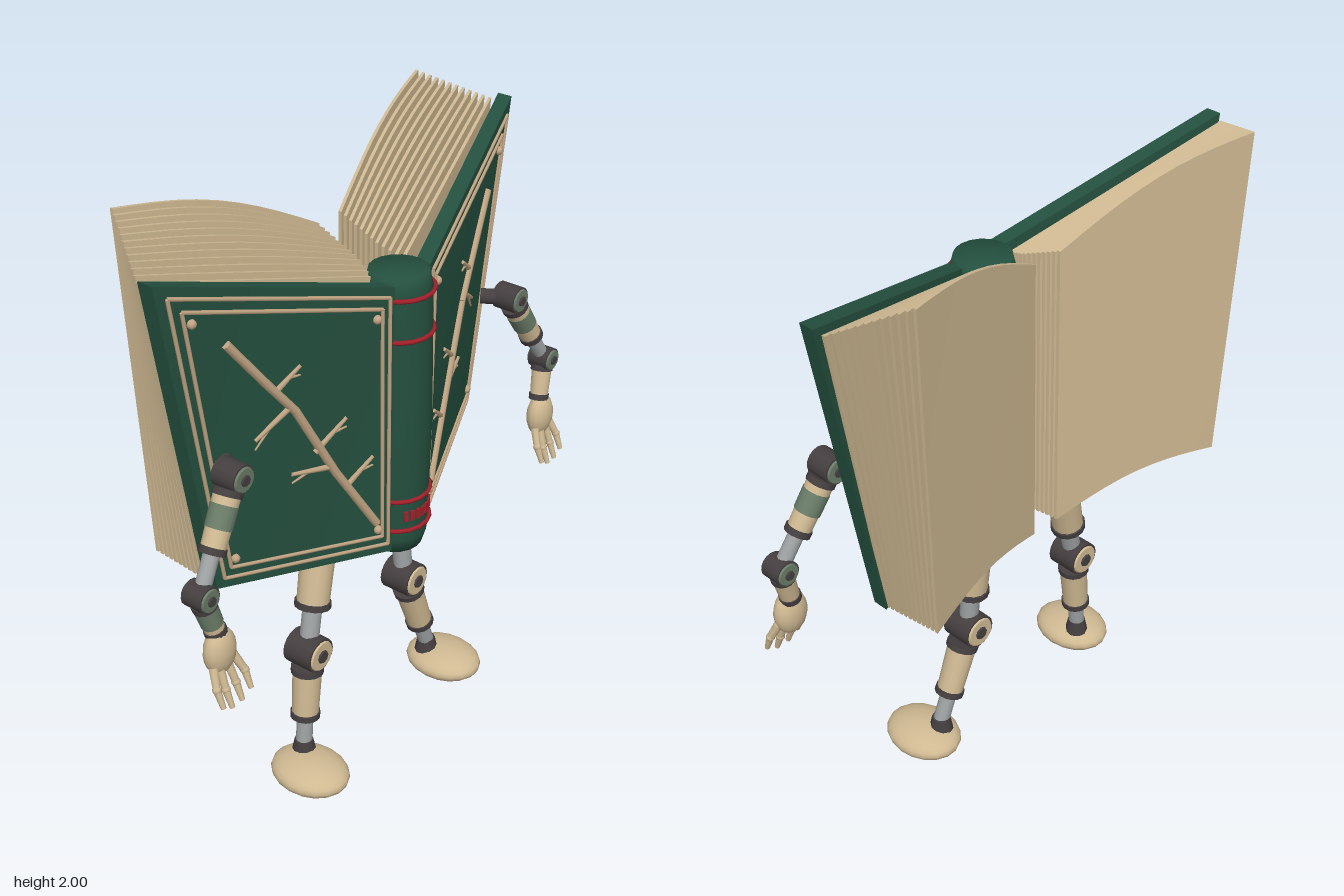
import * as THREE from 'three';

const mat = (name, color) => {
  const m = new THREE.MeshStandardMaterial({ color });
  m.name = name;
  return m;
};
const V = (x, y, z) => new THREE.Vector3(x, y, z);
const lerp = THREE.MathUtils.lerp;

export function createModel() {
  const green = mat('cover green', 0x24503f);
  const cream = mat('cream', 0xcfb992);
  const gilt = mat('gilt tan', 0xc2a684);
  const dark = mat('dark metal', 0x453f40);
  const steel = mat('steel grey', 0x9ea2a3);
  const red = mat('band red', 0xa3202a);
  const moss = mat('moss green', 0x6a7c68);

  const model = new THREE.Group();
  const group = (name, parent = model) => {
    const g = new THREE.Group();
    g.name = name;
    parent.add(g);
    return g;
  };
  const add = (parent, name, geo, material, pos) => {
    const m = new THREE.Mesh(geo, material);
    m.name = name;
    if (pos) m.position.copy(pos);
    parent.add(m);
    return m;
  };
  // tapered rod from a to b
  const rod = (parent, name, a, b, r1, r2, material, sides = 14) => {
    const d = b.clone().sub(a);
    const m = add(parent, name, new THREE.CylinderGeometry(r2, r1, d.length(), sides), material,
      a.clone().add(b).multiplyScalar(0.5));
    m.quaternion.setFromUnitVectors(V(0, 1, 0), d.normalize());
    return m;
  };
  // bends a box into a slab: map(u from spine, v up, d front) gives a point on the +x side
  const slab = (parent, name, side, map, nu, nv, material) => {
    const geo = new THREE.BoxGeometry(1, 1, 1, nu, nv, 1);
    const p = geo.attributes.position;
    for (let i = 0; i < p.count; i++) {
      const q = map(0.5 + side * p.getX(i), p.getY(i) + 0.5, p.getZ(i) + 0.5);
      p.setXYZ(i, side * q.x, q.y, q.z);
    }
    geo.computeVertexNormals();
    add(parent, name, geo, material);
  };

  // spine with raised bands
  const spine = group('spine');
  const profile = [[0, 0.78], [0.085, 0.78], [0.1, 0.83], [0.107, 1.2], [0.1, 1.65], [0.088, 1.7], [0, 1.7]];
  const spineGeo = new THREE.LatheGeometry(profile.map(([r, y]) => new THREE.Vector2(r, y)), 18);
  add(spine, 'spineRoll', spineGeo, green, V(0, 0, 0.16));
  for (const y of [0.87, 0.975, 1.515, 1.645]) {
    const band = add(spine, 'spineBand', new THREE.TorusGeometry(0.106, 0.007, 6, 18), red, V(0, y, 0.16));
    band.rotation.x = Math.PI / 2;
  }
  // row of small ornamental studs
  for (let i = -3; i <= 3; i++) {
    const a = i * 0.2;
    const stud = add(spine, 'spineStud', new THREE.BoxGeometry(0.013, 0.034, 0.008), red,
      V(Math.sin(a) * 0.103, 0.92, 0.16 + Math.cos(a) * 0.103));
    stud.rotation.y = a;
  }

  const twigs = [[[0.48, 1.49], [0.40, 1.55]], [[0.43, 1.43], [0.54, 1.357]], [[0.352, 1.25], [0.25, 1.33]],
    [[0.3, 1.183], [0.425, 1.203]], [[0.255, 1.09], [0.16, 1.167]]];
  const branch = [[0.627, 1.69], [0.5, 1.52], [0.415, 1.41], [0.283, 1.156], [0.145, 0.925]];

  for (const side of [1, -1]) {
    const tag = side > 0 ? 'left' : 'right';
    const half = group(tag + 'Half');
    const zIn = side > 0 ? 0.205 : 0.215, zOut = side > 0 ? -0.025 : 0.015;

    // cover board
    const cover = (u, v, d) => V(
      lerp(0.09, lerp(0.65, 0.83, v), u),
      lerp(lerp(0.8, 1.69, v), lerp(0.89, 1.92, v), u),
      lerp(zIn, zOut, u) - 0.05 * (1 - d));
    slab(half, tag + 'Cover', side, cover, 4, 4, green);

    const onCover = (u, v) => { const q = cover(u, v, 1); q.x *= side; q.z += 0.003; return q; };
    // finds the cover point seen at a given x and y
    const at = ([x, y]) => {
      let u = 0.5, v = 0.5;
      for (let i = 0; i < 8; i++) {
        u = (x - 0.09) / (lerp(0.65, 0.83, v) - 0.09);
        v = (y - lerp(0.8, 0.89, u)) / lerp(0.89, 1.03, u);
      }
      return onCover(u, v);
    };

    // double border with corner studs
    const trim = group(tag + 'CoverTrim', half);
    for (const [u0, u1, v0, v1] of [[0.025, 0.955, 0.035, 0.965], [0.06, 0.91, 0.07, 0.925]]) {
      const c = [[u0, v0], [u1, v0], [u1, v1], [u0, v1]].map(([u, v]) => onCover(u, v));
      c.forEach((p, i) => rod(trim, 'borderLine', p, c[(i + 1) % 4], 0.006, 0.006, gilt, 6));
    }
    for (const [u, v] of [[0.085, 0.1], [0.88, 0.1], [0.88, 0.89], [0.085, 0.89]])
      add(trim, 'cornerStud', new THREE.SphereGeometry(0.014, 8, 6), gilt, onCover(u, v));

    // branch ornament
    for (let i = 0; i < branch.length - 1; i++)
      rod(trim, 'branch', at(branch[i]), at(branch[i + 1]), 0.013, 0.013, gilt, 8);
    for (const [a, b] of twigs) {
      rod(trim, 'twig', at(a), at(b), 0.01, 0.006, gilt, 6);
      const mid = [lerp(a[0], b[0], 0.55), lerp(a[1], b[1], 0.55)];
      rod(trim, 'twigSpur', at(mid), at([b[0], b[1] - 0.03]), 0.005, 0.003, gilt, 5);
    }

    // fanned sheets, k from cover to open page
    const pages = group(tag + 'Pages', half);
    const n = 12;
    for (let i = 0; i < n; i++) {
      const k = i / (n - 1);
      const sheet = (u, v, d) => V(
        lerp(lerp(0.075, 0.05, Math.min(1, k * 3)), lerp(lerp(0.64, 0.62, k), lerp(0.815, 0.67, k), v), u),
        lerp(lerp(lerp(0.8, 0.83, k), lerp(1.69, 1.785, k), v), lerp(0.89, lerp(1.905, 1.995, k), v), u)
          + 0.045 * k * Math.sin(Math.PI * u),
        lerp(lerp(0.125, -0.085, k), lerp(zOut - 0.065, -0.27, k) + 0.025 * (1 - v), u) - 0.011 * (1 - d));
      slab(pages, 'sheet', side, sheet, 10, 4, cream);
    }
  }

  // round hinge facing front and back
  const hinge = (parent, name, p, r, w, face) => {
    const zAxis = V(0, 0, w / 2);
    const lo = p.clone().sub(zAxis), hi = p.clone().add(zAxis);
    rod(parent, name, lo, hi, r, r, dark, 16);
    for (const [c, s] of [[hi, 1], [lo, -1]]) {
      rod(parent, name + 'Face', c, c.clone().add(V(0, 0, 0.006 * s)), r * 0.88, r * 0.82, face, 16);
      rod(parent, name + 'Pin', c, c.clone().add(V(0, 0, 0.012 * s)), r * 0.42, r * 0.36, dark, 8);
    }
  };
  // sleeve from a to b with dark rings at its ends
  const sleeve = (parent, name, a, b, r1, r2, material) => {
    rod(parent, name, a, b, r1, r2, material);
    const d = b.clone().sub(a).normalize().multiplyScalar(0.01);
    rod(parent, name + 'TopRing', a.clone().sub(d), a.clone().add(d), r1 * 1.1, r1 * 1.1, dark);
    rod(parent, name + 'EndRing', b.clone().sub(d), b.clone().add(d), r2 * 1.12, r2 * 1.12, dark);
  };
  const mix = (a, b, t) => a.clone().lerp(b, t);

  // arms
  for (const side of [1, -1]) {
    const arm = group(side > 0 ? 'leftArm' : 'rightArm');
    const P = (x, y, z) => V(x * side, y, z);
    const shoulder = P(0.67, 1.325, 0.11), elbow = P(0.85, 1.04, 0.14), wrist = P(0.815, 0.91, 0.155);
    hinge(arm, 'shoulder', shoulder, 0.044, 0.08, moss);
    rod(arm, 'shoulderMount', shoulder, P(0.62, 1.325, 0.03), 0.025, 0.025, dark);
    sleeve(arm, 'upperArm', mix(shoulder, elbow, 0.14), mix(shoulder, elbow, 0.62), 0.04, 0.036, cream);
    rod(arm, 'upperArmPatch', mix(shoulder, elbow, 0.24), mix(shoulder, elbow, 0.44), 0.041, 0.04, moss);
    rod(arm, 'upperArmRod', mix(shoulder, elbow, 0.6), elbow, 0.024, 0.024, steel);
    hinge(arm, 'elbow', elbow, 0.04, 0.07, moss);
    sleeve(arm, 'forearm', mix(elbow, wrist, 0.25), wrist, 0.034, 0.03, cream);
    if (side < 0) rod(arm, 'forearmPatch', mix(elbow, wrist, 0.33), mix(elbow, wrist, 0.8), 0.035, 0.033, moss);
    const palm = add(arm, 'palm', new THREE.SphereGeometry(1, 14, 10), cream, P(0.812, 0.845, 0.165));
    palm.scale.set(0.056, 0.077, 0.04);
    // fingers of two joints
    for (const [x0, x1, y1] of [[0.77, 0.752, 0.7], [0.798, 0.79, 0.68], [0.828, 0.832, 0.68], [0.852, 0.868, 0.7]]) {
      const a = P(x0, 0.81, 0.175), b = P(x1, y1 + 0.055, 0.2), c = P(x1, y1, 0.222);
      rod(arm, 'fingerBase', a, b, 0.014, 0.012, cream, 8);
      add(arm, 'knuckle', new THREE.SphereGeometry(0.014, 8, 6), cream, b);
      rod(arm, 'fingerTip', b, c, 0.012, 0.008, cream, 8);
    }
  }

  // legs: hip, knee, ankle, foot
  const legs = [
    ['rightLeg', V(-0.185, 0.89, 0.02), V(-0.295, 0.465, 0.05), V(-0.335, 0.12, 0.06), V(-0.368, 0.057, 0.112)],
    ['leftLeg', V(0.185, 0.89, 0.02), V(0.205, 0.465, 0.05), V(0.33, 0.12, 0.06), V(0.362, 0.057, 0.112)],
  ];
  for (const [name, hip, knee, ankle, foot] of legs) {
    const leg = group(name);
    add(leg, 'hipBall', new THREE.SphereGeometry(0.042, 12, 8), dark, hip.clone().add(V(0, 0.04, 0)));
    rod(leg, 'hipMount', hip, V(hip.x * 0.6, hip.y + 0.06, 0.12), 0.025, 0.025, dark);
    sleeve(leg, 'thigh', hip, mix(hip, knee, 0.64), 0.058, 0.052, cream);
    rod(leg, 'thighRod', mix(hip, knee, 0.6), knee, 0.031, 0.031, steel);
    hinge(leg, 'knee', knee, 0.058, 0.105, cream);
    sleeve(leg, 'shin', mix(knee, ankle, 0.2), mix(knee, ankle, 0.68), 0.048, 0.043, cream);
    rod(leg, 'shinRod', mix(knee, ankle, 0.66), ankle, 0.027, 0.027, steel);
    rod(leg, 'ankle', ankle.clone().setY(0.085), ankle.clone().setY(0.135), 0.04, 0.03, dark, 10);
    const f = add(leg, 'foot', new THREE.SphereGeometry(1, 18, 12), cream, foot);
    f.scale.set(0.11, 0.052, 0.137);
    f.position.y = 0.052;
  }

  return model;
}
